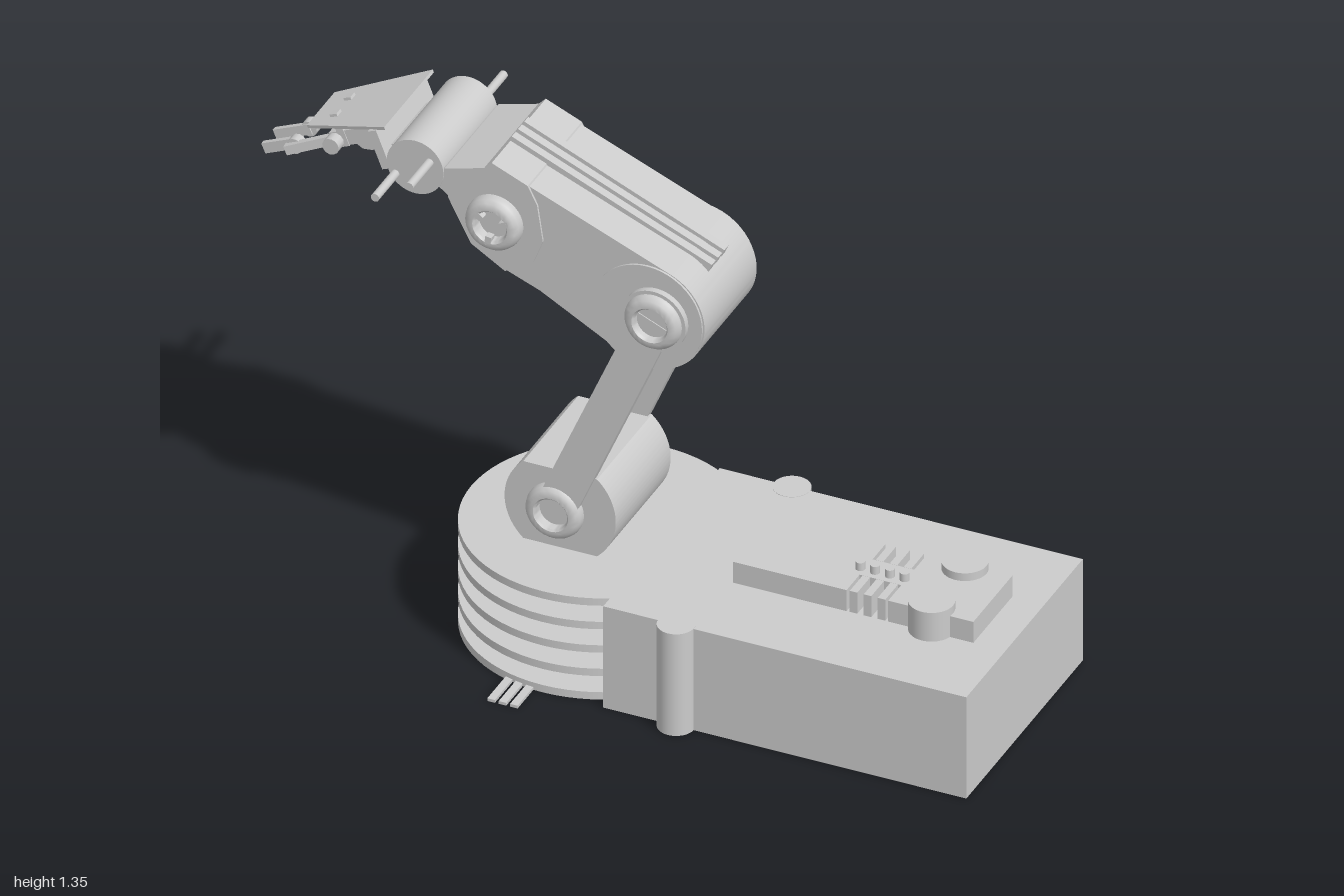
import * as THREE from 'three';
import { toCreasedNormals } from 'three/addons/utils/BufferGeometryUtils.js';

const material = new THREE.MeshStandardMaterial({ color: 0xcccccc });

function add(parent, name, geometry, x = 0, y = 0, z = 0) {
  const mesh = new THREE.Mesh(geometry, material);
  mesh.name = name;
  mesh.position.set(x, y, z);
  parent.add(mesh);
  return mesh;
}

// Box given by its limits on each axis
const block = (parent, name, x0, x1, y0, y1, z0, z1) =>
  add(parent, name, new THREE.BoxGeometry(x1 - x0, y1 - y0, z1 - z0), (x0 + x1) / 2, (y0 + y1) / 2, (z0 + z1) / 2);

// Upright cylinder standing at height y0
const post = (parent, name, r, x, z, y0, y1, sides = 48) =>
  add(parent, name, new THREE.CylinderGeometry(r, r, y1 - y0, sides), x, (y0 + y1) / 2, z);

// Cylinder lying along z, centred on the arm plane
const axle = (parent, name, r, length, x, y, z = 0, sides = 48) =>
  add(parent, name, new THREE.CylinderGeometry(r, r, length, sides).rotateX(Math.PI / 2), x, y, z);

// Side profile extruded evenly about z
function slab(parent, name, shape, width, z = 0) {
  const g = new THREE.ExtrudeGeometry(shape, { depth: width, bevelEnabled: false, curveSegments: 24 });
  g.translate(0, 0, -width / 2);
  return add(parent, name, toCreasedNormals(g, 0.5), 0, 0, z);
}

const polygon = (pts) => new THREE.Shape(pts.map(([x, y]) => new THREE.Vector2(x, y)));

// Pair of domed, hollow joint caps
function hubs(parent, name, x, y, r, face, out) {
  const h = out - face;
  const pts = [[r, -0.01], [r, h * 0.3], [r * 0.96, h * 0.6], [r * 0.86, h * 0.88], [r * 0.72, h],
    [r * 0.62, h], [r * 0.56, h * 0.85], [r * 0.54, h * 0.2], [0, h * 0.2]].map((p) => new THREE.Vector2(...p));
  const g = toCreasedNormals(new THREE.LatheGeometry(pts, 40).rotateX(Math.PI / 2), 0.6);
  for (const s of [1, -1]) {
    const cap = add(parent, name, g, x, y, s * face);
    if (s < 0) cap.rotation.y = Math.PI;
  }
}

function buildBase(root) {
  const base = new THREE.Group();
  base.name = 'base';
  root.add(base);
  block(base, 'baseBox', 0.04, 1, 0, 0.29, -0.36, 0.31);
  for (const z of [-0.358, 0.308]) post(base, 'sideColumn', 0.047, 0.232, z, 0, 0.291);

  // Turntable: stacked plates around a core
  post(base, 'turntableCore', 0.19, -0.12, -0.04, 0.005, 0.28, 48);
  for (let i = 0; i < 5; i++) post(base, 'turntablePlate', 0.35, -0.12, -0.04, i * 0.0672, i * 0.0672 + 0.021, 72);

  // Control panel with fins, knobs and buttons
  block(base, 'panelFront', 0.28, 0.58, 0.28, 0.35, -0.14, 0.085);
  block(base, 'panelMiddle', 0.58, 0.69, 0.28, 0.35, -0.065, 0.01);
  block(base, 'panelEnd', 0.69, 0.915, 0.28, 0.35, -0.14, 0.085);
  for (const z of [-0.1025, 0.0475])
    for (const x of [0.598, 0.635, 0.672]) block(base, 'panelFin', x - 0.01, x + 0.01, 0.28, 0.35, z - 0.037, z + 0.037);
  for (const z of [-0.122, 0.07]) post(base, 'knob', 0.057, 0.798, z, 0.28, 0.372);
  for (let i = 0; i < 4; i++) post(base, 'button', 0.012, 0.57 + i * 0.039, -0.016, 0.34, 0.372, 20);

  // Flat cable strips beside the turntable
  for (const x of [-0.215, -0.185, -0.155]) block(base, 'cableStrip', x - 0.01, x + 0.01, 0, 0.008, 0.25, 0.4);
}

function buildHand(arm) {
  // Wrist bracket and sloping cover plate
  const tilt = -0.33;
  const bracket = block(arm, 'wristBracket', -0.012, 0.012, -0.055, 0.05, -0.14, 0.14);
  bracket.position.set(-0.65, 1.285, 0);
  bracket.rotation.z = 0.38;
  const bar = block(arm, 'wristBar', -0.05, 0.05, -0.025, 0.025, -0.1, 0.1);
  bar.position.set(-0.61, 1.265, 0);
  bar.rotation.z = 0.35;
  const cover = new THREE.Shape([[-0.13, -0.08], [0.12, -0.14], [0.12, 0.14], [-0.13, 0.08]].map((p) => new THREE.Vector2(...p)));
  const g = new THREE.ExtrudeGeometry(cover, { depth: 0.008, bevelEnabled: false }).rotateX(-Math.PI / 2);
  add(arm, 'handCover', g, -0.745, 1.302, 0).rotation.z = -tilt + 0.05;
  for (const s of [1, -1]) {
    const strut = block(arm, 'coverStrut', -0.01, 0.01, -0.045, 0.045, -0.012, 0.012);
    strut.position.set(-0.795, 1.25, s * 0.04);
    strut.rotation.z = 0.4;
  }

  // Gripper, built along its own -x axis
  const hand = new THREE.Group();
  hand.name = 'gripper';
  hand.position.set(-0.725, 1.255, 0);
  hand.rotation.z = 0.41;
  arm.add(hand);
  axle(hand, 'palm', 0.043, 0.1, 0, 0, 0, 10);
  block(hand, 'palmLink', 0, 0.09, -0.015, 0.015, -0.03, 0.03);
  block(hand, 'palmBridge', -0.1, 0, -0.02, 0.02, -0.05, 0.05);
  for (const s of [1, -1]) {
    axle(hand, 'knuckle', 0.022, 0.03, -0.085, 0, s * 0.072, 12);
    const inner = block(hand, 'innerFinger', -0.075, 0.075, -0.012, 0.012, -0.01, 0.01);
    inner.position.set(-0.15, 0, s * 0.052);
    inner.rotation.y = s * 0.15;
    axle(hand, 'fingerJoint', 0.021, 0.026, -0.205, 0, s * 0.042, 12);
    block(hand, 'fingerTip', -0.302, -0.2, -0.014, 0.014, s * 0.033 - 0.007, s * 0.033 + 0.007);
  }
}

function buildArm(root) {
  const arm = new THREE.Group();
  arm.name = 'arm';
  arm.position.z = -0.042;
  root.add(arm);

  // Shoulder: drum with flat top and bottom
  const a = 0.847;
  const drum = new THREE.Shape();
  drum.absarc(-0.163, 0.4, 0.147, -a, a);
  drum.absarc(-0.163, 0.4, 0.147, Math.PI - a, Math.PI + a);
  slab(arm, 'shoulderDrum', drum, 0.316);
  hubs(arm, 'shoulderCap', -0.175, 0.395, 0.075, 0.155, 0.188);

  // Twin links between shoulder and elbow
  const dx = 0.265, dy = 0.618, length = Math.hypot(dx, dy);
  for (const s of [1, -1]) {
    const link = add(arm, 'lowerLink', new THREE.BoxGeometry(0.1, length, 0.03), -0.175 + dx / 2, 0.395 + dy / 2, s * 0.16);
    link.rotation.z = -Math.atan2(dx, dy);
  }

  // Forearm: tapered body rounded at the elbow
  const slope = -0.402;
  const body = new THREE.Shape();
  body.moveTo(-0.345, 1.335);
  body.lineTo(-0.365, 1.318);
  body.lineTo(-0.47, 1.29);
  body.lineTo(-0.52, 1.255);
  body.lineTo(-0.46, 1.21);
  body.lineTo(-0.4, 1.095);
  body.lineTo(-0.31, 1.04);
  body.lineTo(-0.22, 1.005);
  body.absarc(0.07, 1.01, 0.145, slope - Math.PI / 2, slope + Math.PI / 2);
  slab(arm, 'forearmBody', body, 0.3);
  axle(arm, 'elbowDrum', 0.145, 0.312, 0.066, 1.01);
  slab(arm, 'wristHousing', polygon([[-0.345, 1.34], [-0.365, 1.32], [-0.47, 1.29], [-0.46, 1.21], [-0.4, 1.095],
    [-0.31, 1.04], [-0.235, 1.085], [-0.21, 1.15], [-0.225, 1.25], [-0.25, 1.3]]), 0.312);
  hubs(arm, 'elbowCap', 0.09, 1.014, 0.077, 0.154, 0.195);
  hubs(arm, 'forearmCap', -0.335, 1.177, 0.074, 0.154, 0.19);
  for (const s of [1, -1]) {
    axle(arm, 'elbowWasher', 0.085, 0.025, 0.09, 1.014, s * 0.16);
    for (let i = 0; i < 3; i++) {
      const t = 0.4 + i * Math.PI * 2 / 3;
      const spoke = block(arm, 'capSpoke', -0.012, 0.012, -0.008, 0.008, -0.01, 0.01);
      spoke.position.set(-0.335 + 0.04 * Math.cos(t), 1.177 + 0.04 * Math.sin(t), s * 0.18);
      spoke.rotation.z = t;
    }
  }

  // Three ribs along the top of the forearm
  for (const z of [-0.036, 0, 0.036]) {
    const rib = add(arm, 'forearmRib', new THREE.BoxGeometry(0.575, 0.04, 0.023), -0.085, 1.222, z);
    rib.rotation.z = slope;
  }

  // Wrist hinge with two cross rods
  axle(arm, 'wristHinge', 0.075, 0.31, -0.548, 1.273);
  axle(arm, 'crossRod', 0.011, 0.545, -0.51, 1.296, 0, 16);
  axle(arm, 'crossRod', 0.011, 0.545, -0.6, 1.24, 0, 16);
  buildHand(arm);
}

export function createModel() {
  const root = new THREE.Group();
  root.name = 'roboticArm';
  buildBase(root);
  buildArm(root);
  return root;
}
